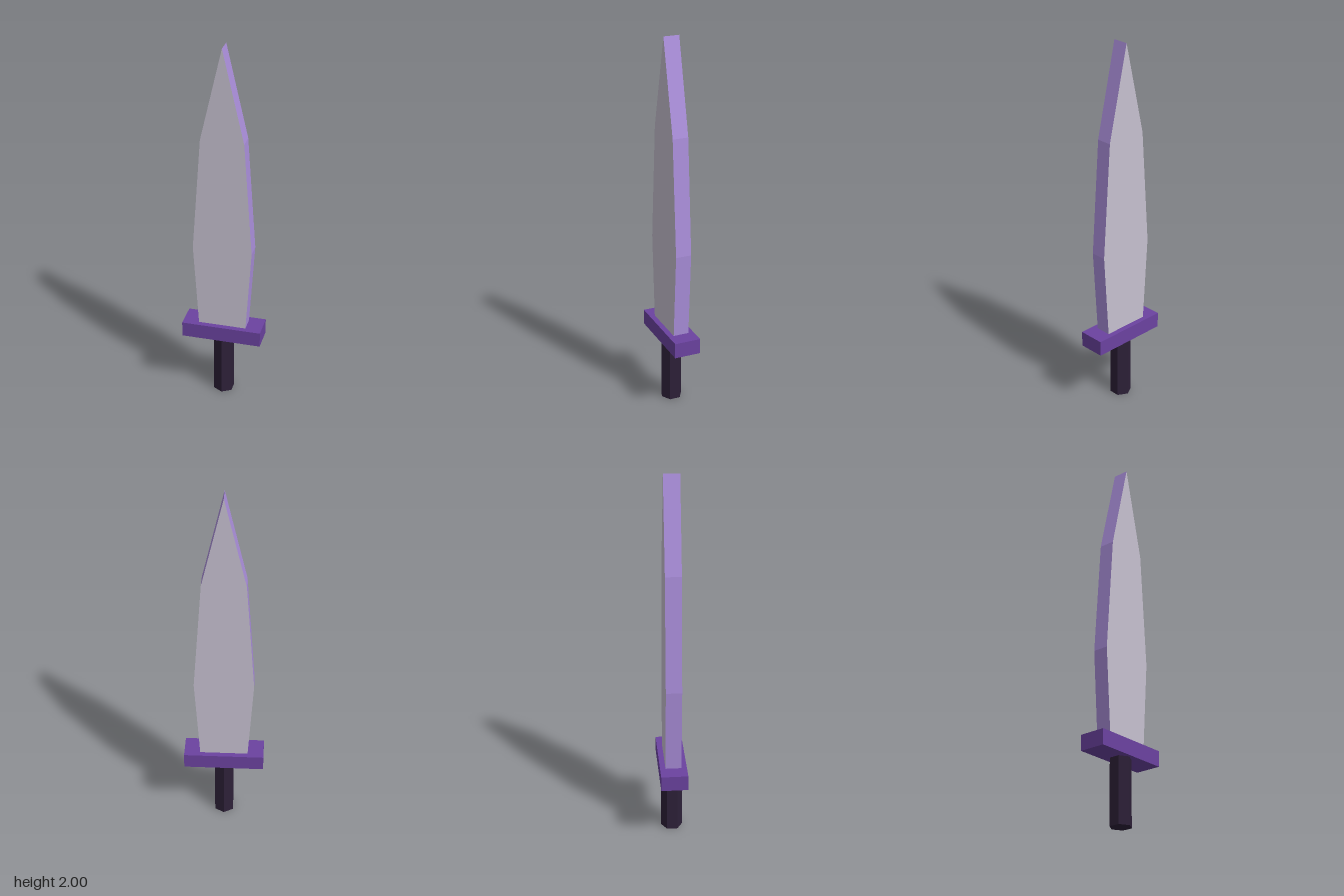
import * as THREE from 'three';

const material = (name, color) => {
  const m = new THREE.MeshStandardMaterial({ color });
  m.name = name;
  return m;
};

export function createModel() {
  const steel = material('pale steel', 0xc6c0d0);
  const edge = material('lavender edge', 0xab8fdb);
  const purple = material('purple', 0x6b42a0);
  const dark = material('dark grip', 0x2d2038);

  const model = new THREE.Group();
  model.name = 'sword';
  const add = (name, geometry, mat, y = 0) => {
    const mesh = new THREE.Mesh(geometry, mat);
    mesh.name = name;
    mesh.position.y = y;
    model.add(mesh);
    return mesh;
  };

  // Leaf-shaped blade: steel flats, lavender rim
  const half = [[0.128, 0.43], [0.157, 0.89], [0.113, 1.51]];
  const outline = [
    ...half,
    [0, 2],
    ...half.map(([x, y]) => [-x, y]).reverse(),
  ].map(([x, y]) => new THREE.Vector2(x, y));
  const depth = 0.084;
  const blade = new THREE.ExtrudeGeometry(new THREE.Shape(outline), { depth, bevelEnabled: false });
  blade.translate(0, 0, -depth / 2);
  add('blade', blade, [steel, edge]);

  // Crossguard
  add('guard', new THREE.BoxGeometry(0.428, 0.083, 0.142), purple, 0.3885);

  // Six-sided grip with flat faces
  const grip = new THREE.CylinderGeometry(0.057, 0.057, 0.347, 6).toNonIndexed();
  grip.computeVertexNormals();
  add('grip', grip, dark, 0.1735);

  return model;
}
